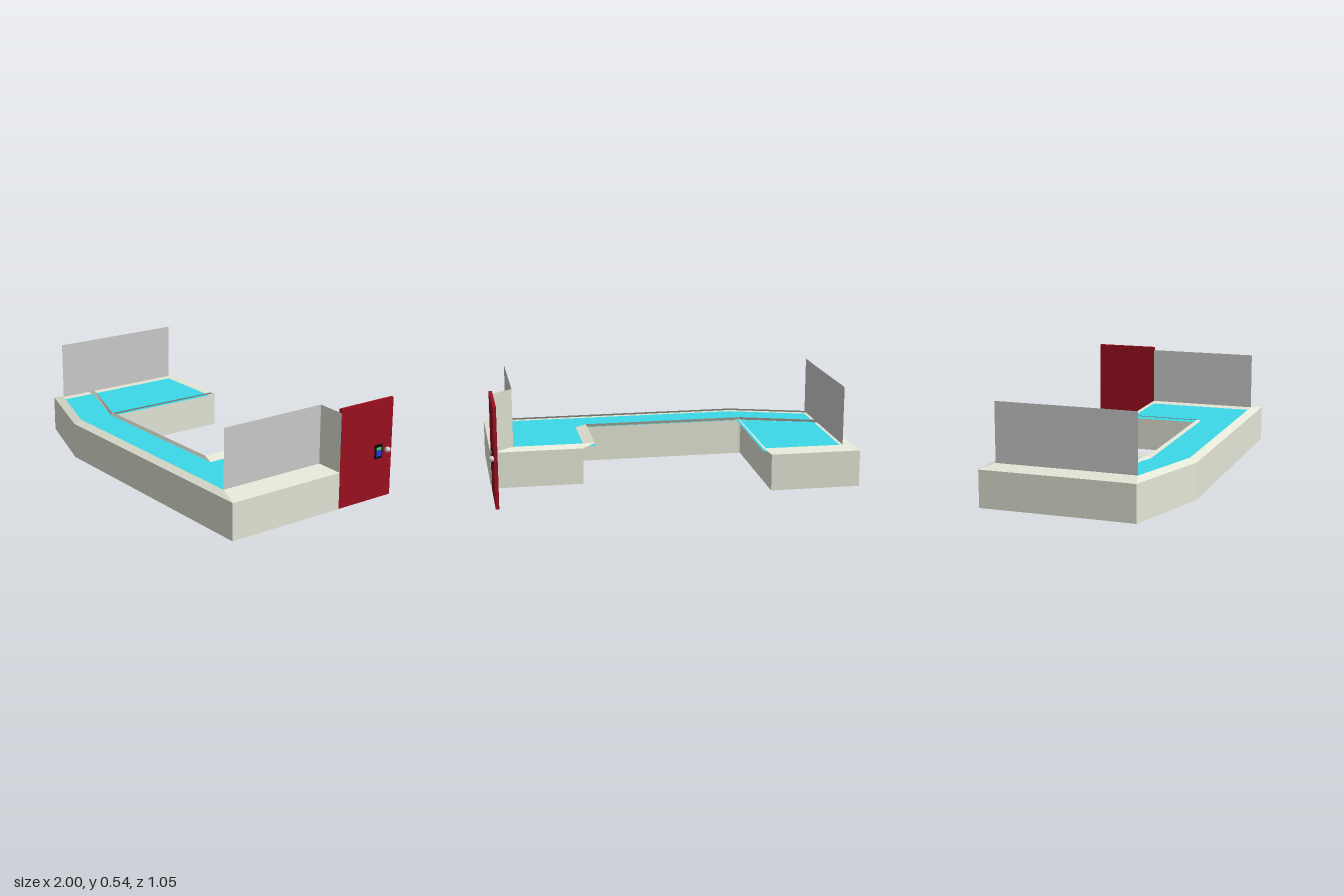
import * as THREE from 'three';

const mat = (color) => new THREE.MeshStandardMaterial({ color, side: THREE.DoubleSide, flatShading: true });
const stone = mat(0xe3e6d6), grey = mat(0xcccccc), water = mat(0x3cd9e9);
const red = mat(0x9b0f1f), black = mat(0x0c0c0e), green = mat(0x38d860), blue = mat(0x3038e0);

const WALL = 0.2, RIM = 0.22, PANEL = 0.54;

// Plan outlines as [x, z]: foot of the rim, and its raised edge
const mainFoot = [[-1, 0.365], [-0.5, 0.525], [0.975, 0.525], [0.975, -0.165],
  [0.475, -0.165], [0.475, 0.28], [-0.5, 0.28], [-0.995, 0.125]];
const mainRim = [[-0.92, 0.345], [-0.49, 0.485], [0.85, 0.485], [0.85, -0.135],
  [0.405, -0.135], [0.405, 0.27], [-0.5, 0.27], [-0.915, 0.13]];
const wingFoot = [[-0.995, 0.125], [-0.51, 0.28], [-0.5, -0.47], [-0.99, -0.475]];
const wingRim = [[-0.915, 0.13], [-0.485, 0.27], [-0.47, -0.41], [-0.91, -0.415]];

function add(group, name, geometry, material, x = 0, y = 0, z = 0) {
  const mesh = new THREE.Mesh(geometry, material);
  mesh.name = name;
  mesh.position.set(x, y, z);
  group.add(mesh);
  return mesh;
}

// Horizontal shape from a plan outline
const plan = (loop) => new THREE.Shape(loop.map(([x, z]) => new THREE.Vector2(x, -z)));

// Four-cornered sheet
function sheet(a, b, c, d) {
  const g = new THREE.BufferGeometry();
  g.setAttribute('position', new THREE.Float32BufferAttribute([a, b, c, a, c, d].flat(), 3));
  g.computeVertexNormals();
  return g;
}

// Upright sheet between two plan points
const upright = ([x1, z1], [x2, z2], low1, low2, high1, high2) =>
  sheet([x1, low1, z1], [x2, low2, z2], [x2, high2, z2], [x1, high1, z1]);

// Walled basin with water and a sloping rim; one rim edge may be left out
function basin(name, foot, rim, skip = -1) {
  const g = new THREE.Group();
  g.name = name;
  add(g, 'basinWall', new THREE.ExtrudeGeometry(plan(foot), { depth: WALL, bevelEnabled: false })
    .rotateX(-Math.PI / 2), stone);
  add(g, 'waterSurface', new THREE.ShapeGeometry(plan(rim)).rotateX(-Math.PI / 2), water, 0, WALL + 0.003, 0);
  foot.forEach(([x, z], i) => {
    if (i === skip) return;
    const j = (i + 1) % foot.length;
    add(g, 'slopingRim', sheet([x, WALL, z], [foot[j][0], WALL, foot[j][1]],
      [rim[j][0], RIM, rim[j][1]], [rim[i][0], RIM, rim[i][1]]), stone);
  });
  return g;
}

export function createModel() {
  const model = new THREE.Group();
  model.name = 'pool';
  model.add(basin('mainBasin', mainFoot, mainRim));
  model.add(basin('rightWingBasin', wingFoot, wingRim, 0));

  // Upright side panels along the rim
  add(model, 'leftPanel', upright(mainRim[2], mainRim[3], RIM, RIM, PANEL, PANEL), grey);
  add(model, 'rightPanelBack', upright(wingRim[3], wingRim[0], RIM, RIM, PANEL, PANEL), grey);
  add(model, 'rightPanelFront', upright(wingRim[0], mainRim[0], RIM, RIM, PANEL, PANEL), grey);
  add(model, 'returnWall', upright(mainRim[3], mainFoot[3], RIM, WALL, PANEL, 0.52), stone);

  // Door with keypad and knob
  const door = new THREE.Group();
  door.name = 'door';
  add(door, 'doorLeaf', new THREE.BoxGeometry(0.018, PANEL, 0.36), red, 0.964, PANEL / 2, -0.346);
  add(door, 'keypad', new THREE.BoxGeometry(0.008, 0.076, 0.052), black, 0.975, 0.26, -0.431);
  add(door, 'keypadDisplay', new THREE.BoxGeometry(0.004, 0.015, 0.034), green, 0.979, 0.276, -0.431);
  add(door, 'keypadButtons', new THREE.BoxGeometry(0.004, 0.034, 0.034), blue, 0.979, 0.251, -0.431);
  const steel = new THREE.MeshStandardMaterial({ color: 0xcccccc });
  add(door, 'doorKnob', new THREE.SphereGeometry(0.016, 20, 14), steel, 0.984, 0.26, -0.489);
  model.add(door);
  return model;
}
